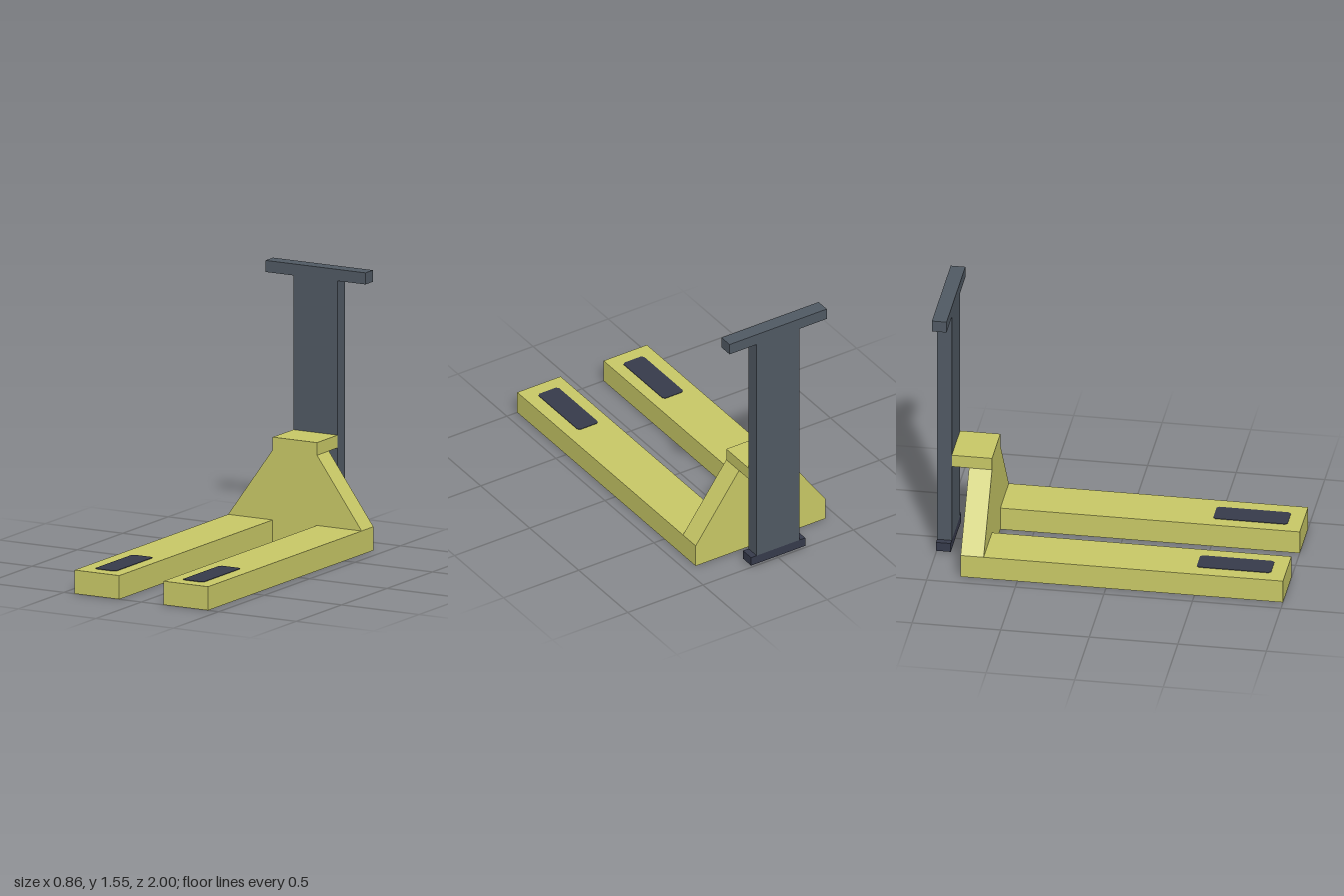
import * as THREE from 'three';

const material = (name, color) => {
  const m = new THREE.MeshStandardMaterial({ color });
  m.name = name;
  return m;
};

export function createModel() {
  const yellow = material('olive yellow', 0xc8c866);
  const steel = material('slate grey', 0x505963);
  const navy = material('dark navy', 0x363a4b);

  const model = new THREE.Group();
  model.name = 'palletJack';

  const add = (name, geometry, mat) => {
    const mesh = new THREE.Mesh(geometry, mat);
    mesh.name = name;
    model.add(mesh);
    return mesh;
  };

  // Box given by its lower and upper corners
  const block = (name, mat, [x0, y0, z0], [x1, y1, z1]) =>
    add(name, new THREE.BoxGeometry(x1 - x0, y1 - y0, z1 - z0), mat)
      .position.set((x0 + x1) / 2, (y0 + y1) / 2, (z0 + z1) / 2);

  // Dark pad outline with clipped corners
  const w = 0.068, l = 0.21, c = 0.013;
  const padShape = new THREE.Shape([
    [-w + c, -l], [w - c, -l], [w, -l + c], [w, l - c],
    [w - c, l], [-w + c, l], [-w, l - c], [-w, -l + c],
  ].map(([x, y]) => new THREE.Vector2(x, y)));
  const padGeometry = new THREE.ExtrudeGeometry(padShape, { depth: 0.003, bevelEnabled: false });
  padGeometry.rotateX(-Math.PI / 2);

  // Forks with a pad near each tip
  for (const [side, s] of [['left', 1], ['right', -1]]) {
    const xs = [0.143 * s, 0.431 * s].sort((a, b) => a - b);
    block(side + 'Fork', yellow, [xs[0], 0, -0.69], [xs[1], 0.135, 1]);
    add(side + 'ForkPad', padGeometry, navy).position.set(0.283 * s, 0.135, 0.708);
  }

  // Tapered housing joining the forks
  const housing = new THREE.Shape([
    [-0.431, 0], [0.431, 0], [0.431, 0.135], [0.143, 0.535], [-0.143, 0.535], [-0.431, 0.135],
  ].map(([x, y]) => new THREE.Vector2(x, y)));
  add('housing', new THREE.ExtrudeGeometry(housing, { depth: 0.13, bevelEnabled: false }), yellow)
    .position.z = -0.82;

  // Bracket reaching back to the mast
  block('bracket', yellow, [-0.143, 0.535, -0.917], [0.143, 0.607, -0.69]);

  // Mast, handlebar and foot
  block('mast', steel, [-0.143, 0.065, -1], [0.143, 1.486, -0.917]);
  block('handlebar', steel, [-0.323, 1.486, -1], [0.323, 1.552, -0.917]);
  block('mastFoot', navy, [-0.18, 0.012, -1], [0.18, 0.065, -0.917]);

  return model;
}
